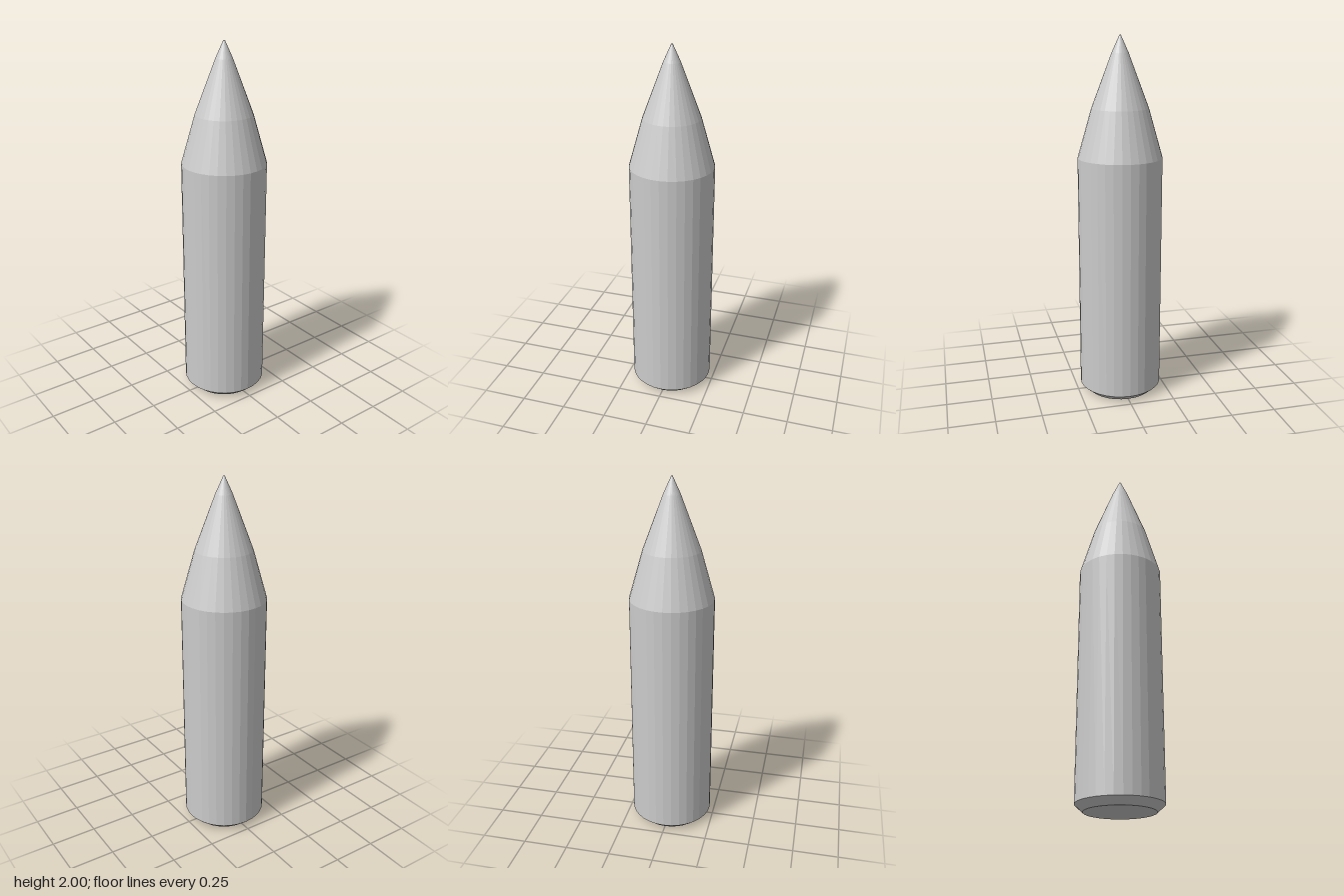
import * as THREE from 'three';

const SIDES = 32;

// Closed faceted solid of revolution from [radius, height] points, bottom to top
function turned(name, profile, material) {
  const points = profile.map(([r, y]) => new THREE.Vector2(r, y));
  const mesh = new THREE.Mesh(new THREE.LatheGeometry(points, SIDES), material);
  mesh.name = name;
  return mesh;
}

export function createModel() {
  const group = new THREE.Group();
  group.name = 'pointedCylinder';
  const material = new THREE.MeshStandardMaterial({ color: 0xcccccc, flatShading: true });

  // Straight body with a flat base and a chamfered lower rim
  group.add(turned('body', [[0, 0], [0.188, 0], [0.231, 0.038], [0.231, 1.355]], material));

  // Nose tapering in three steps to a tiny flat tip
  group.add(turned('nose', [[0.231, 1.355], [0.155, 1.62], [0.045, 1.91], [0.004, 2], [0, 2]], material));

  return group;
}
